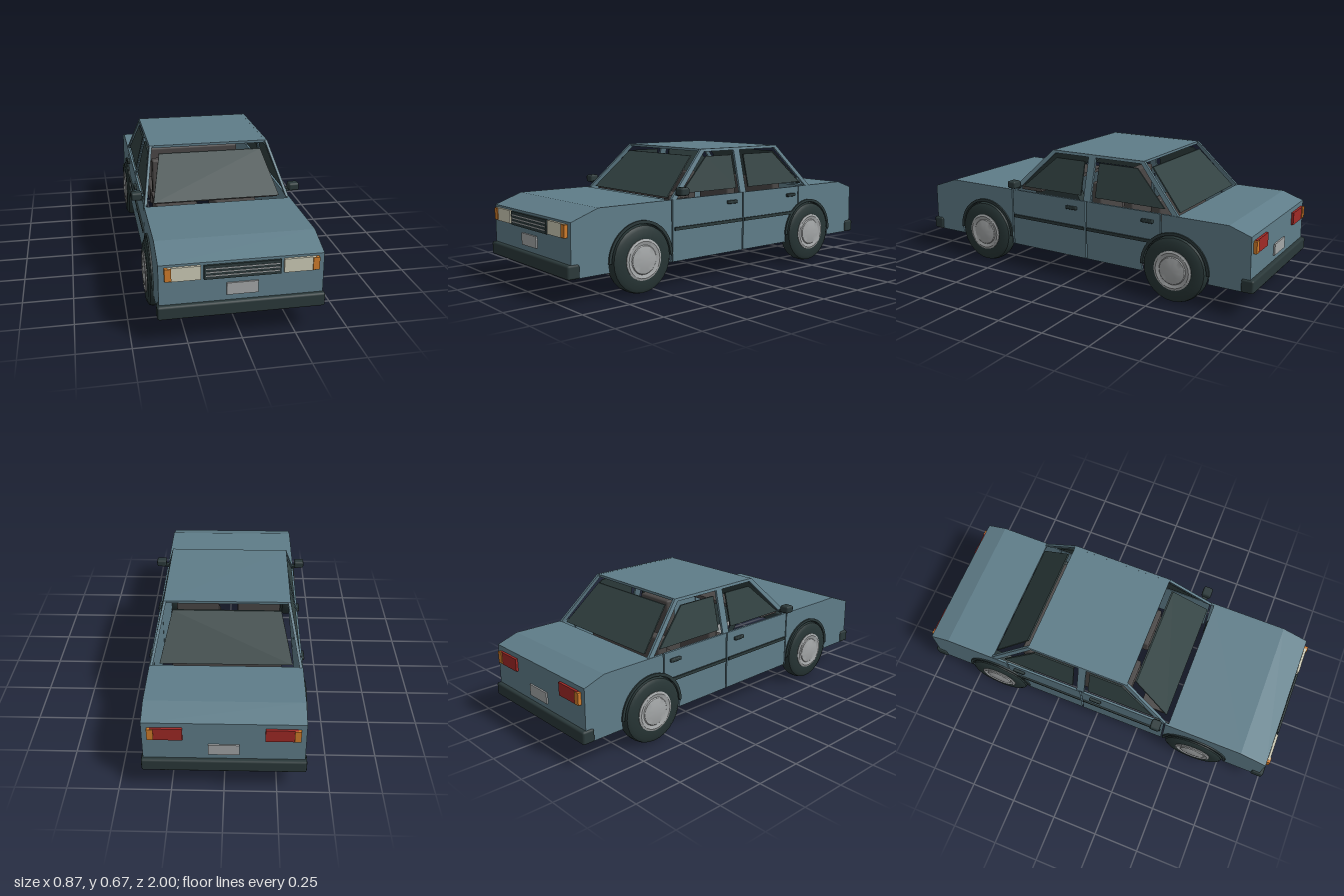
import * as THREE from 'three';
import { toCreasedNormals } from 'three/addons/utils/BufferGeometryUtils.js';
import { RoundedBoxGeometry } from 'three/addons/geometries/RoundedBoxGeometry.js';

const paint = (name, color, side = THREE.FrontSide) =>
  Object.assign(new THREE.MeshStandardMaterial({ color, side }), { name });

// Extrudes a (z, y) outline across x, its outer face lying at x0
function slab(points, x0, depth) {
  const shape = new THREE.Shape(points.map(([z, y]) => new THREE.Vector2(-z, y)));
  const g = new THREE.ExtrudeGeometry(shape, { depth, bevelEnabled: false });
  return g.rotateY(Math.PI / 2).translate(x0 - depth, 0, 0);
}

// Moves each vertex along one axis by a rule of its height
function lean(g, axis, rule) {
  const p = g.attributes.position;
  for (let i = 0; i < p.count; i++) p.setComponent(i, axis, p.getComponent(i, axis) + rule(p.getY(i)));
  g.computeVertexNormals();
  return g;
}

// Reflected copy in x with the corner order restored
function mirrorX(geometry) {
  const g = geometry.index ? geometry.toNonIndexed() : geometry.clone();
  g.scale(-1, 1, 1);
  for (const a of [g.attributes.position, g.attributes.normal]) {
    for (let i = 0; i < a.count; i += 3) {
      const b = [a.getX(i + 1), a.getY(i + 1), a.getZ(i + 1)];
      a.setXYZ(i + 1, a.getX(i + 2), a.getY(i + 2), a.getZ(i + 2));
      a.setXYZ(i + 2, ...b);
    }
  }
  return g;
}

const box = (w, h, d, x, y, z) => new THREE.BoxGeometry(w, h, d).translate(x, y, z);
const softBox = (w, h, d, x, y, z, r = 0.01) => new RoundedBoxGeometry(w, h, d, 1, r).translate(x, y, z);

const AXLE_Y = 0.172, FRONT = 0.595, REAR = -0.59;
// Points of an arc around an axle, in (z, y)
function arc(cz, r, from, to, n = 24) {
  return Array.from({ length: n + 1 }, (_, i) => {
    const a = from + (to - from) * i / n;
    return [cz + r * Math.cos(a), AXLE_Y + r * Math.sin(a)];
  });
}

export function createModel() {
  const car = new THREE.Group();
  car.name = 'car';
  const body = paint('body blue', 0x5f7d89);
  const trim = paint('dark trim', 0x2b393a, THREE.DoubleSide);
  const glass = paint('window glass', 0x314141, THREE.DoubleSide);
  const rubber = paint('tyre rubber', 0x273535);
  const metal = paint('hub and plate grey', 0xa4a7a8);
  const cream = paint('headlight cream', 0xcdcbb6);
  const amber = paint('indicator amber', 0xcf7c2b);
  const red = paint('tail light red', 0xa02926);
  const fabric = paint('seat fabric', 0x4a4746);

  const add = (name, geometry, material) => {
    const mesh = new THREE.Mesh(geometry, material);
    mesh.name = name;
    car.add(mesh);
  };
  const pair = (name, geometry, material) => {
    add(name + 'Left', geometry, material);
    add(name + 'Right', mirrorX(geometry), material);
  };

  // Hood with nose, and trunk lid with tail, as folded sheets
  add('hoodAndNose', slab([[0.425, 0.44], [0.83, 0.44], [0.975, 0.388], [0.98, 0.13],
    [0.968, 0.13], [0.963, 0.379], [0.828, 0.429], [0.425, 0.429]], 0.366, 0.732), body);
  add('trunkAndTail', slab([[-0.597, 0.44], [-0.865, 0.44], [-0.976, 0.402], [-0.98, 0.13],
    [-0.968, 0.13], [-0.964, 0.393], [-0.863, 0.429], [-0.597, 0.429]], 0.366, 0.732), body);

  // Side panels, separated by narrow door gaps
  const R = 0.183, PI = Math.PI;
  const sides = {
    frontFender: [[0.408, 0.13], [0.408, 0.44], [0.83, 0.44], [0.975, 0.388], [0.98, 0.13],
      ...arc(FRONT, R, -0.23, PI + 0.23)],
    frontDoor: [[0.401, 0.13], [0.401, 0.44], [-0.072, 0.44], [-0.072, 0.13]],
    rearDoor: [[-0.08, 0.13], [-0.08, 0.44], [-0.507, 0.44], ...arc(REAR, R, 1.1, -0.23)],
    rearFender: [[-0.514, 0.44], ...arc(REAR, R, 1.142, PI + 0.23),
      [-0.98, 0.13], [-0.976, 0.402], [-0.865, 0.44]],
  };
  for (const [name, outline] of Object.entries(sides)) pair(name, slab(outline, 0.376, 0.012), body);

  // Roof, leaning pillars and side windows
  const inward = y => -Math.max(0, y - 0.44) * 0.243;
  add('roof', box(0.63, 0.013, 0.545, 0, 0.668, -0.1075), body);
  pair('roofFrame', lean(slab([[0.408, 0.44], [0.168, 0.675], [-0.382, 0.675], [-0.603, 0.44],
    [-0.57, 0.44], [-0.367, 0.661], [0.15, 0.661], [0.372, 0.44]], 0.373, 0.014), 0, inward), body);
  pair('centrePillar', lean(slab([[-0.058, 0.44], [-0.058, 0.665], [-0.1, 0.665], [-0.1, 0.44]],
    0.372, 0.013), 0, inward), body);
  pair('frontSideWindow', lean(slab([[0.335, 0.464], [0.14, 0.637], [-0.037, 0.637], [-0.037, 0.464]],
    0.37, 0.008), 0, inward), glass);
  pair('rearSideWindow', lean(slab([[-0.125, 0.464], [-0.125, 0.637], [-0.348, 0.637], [-0.525, 0.464]],
    0.37, 0.008), 0, inward), glass);

  // Windscreen and rear window
  const pane = new THREE.Shape([[-0.325, 0.446], [0.325, 0.446], [0.27, 0.64], [-0.27, 0.64]]
    .map(p => new THREE.Vector2(...p)));
  const screen = rule => lean(new THREE.ExtrudeGeometry(pane, { depth: 0.008, bevelEnabled: false }), 2, rule);
  add('windscreen', screen(y => 0.397 - (y - 0.44) * 1.02), glass);
  add('rearWindow', screen(y => -0.597 + (y - 0.44) * 0.94), glass);

  // Wheels and wheel wells
  const v = (r, y) => new THREE.Vector2(r, y);
  const turned = points => toCreasedNormals(
    new THREE.LatheGeometry(points, 28).rotateZ(-PI / 2), 0.6);
  const tyre = turned([v(0.1, -0.04), v(0.145, -0.04), v(0.163, -0.03), v(0.168, -0.015),
    v(0.168, 0.015), v(0.163, 0.03), v(0.145, 0.04), v(0.1, 0.04)]);
  const hub = turned([v(0, -0.03), v(0.101, -0.03), v(0.101, 0.043), v(0.09, 0.047),
    v(0.072, 0.042), v(0.068, 0.046), v(0.04, 0.051), v(0, 0.053)]);
  const liner = new THREE.CylinderGeometry(R, R, 0.08, 24, 1, true, PI, PI).rotateZ(-PI / 2);
  const linerWall = new THREE.CircleGeometry(R, 24, 0, PI).rotateY(PI / 2);
  for (const [end, z] of [['front', FRONT], ['rear', REAR]]) {
    pair(end + 'Tyre', tyre.clone().translate(0.358, AXLE_Y, z), rubber);
    pair(end + 'Hub', hub.clone().translate(0.358, AXLE_Y, z), metal);
    pair(end + 'WheelWell', liner.clone().translate(0.34, AXLE_Y - 0.01, z), trim);
    pair(end + 'WheelWellWall', linerWall.clone().translate(0.3, AXLE_Y - 0.01, z), trim);
    pair(end + 'ArchLip', slab([...arc(z, 0.187, 0, PI), ...arc(z, 0.172, PI, 0)], 0.384, 0.02), trim);
  }

  // Bumpers, number plates and lights at both ends
  for (const [end, s] of [['front', 1], ['rear', -1]]) {
    add(end + 'Bumper', softBox(0.77, 0.066, 0.064, 0, 0.163, s * 0.968), trim);
    add(end + 'Plate', box(0.144, 0.058, 0.008, 0, 0.254, s * 0.983), metal);
    pair(end + 'Light', box(0.147, 0.066, 0.012, 0.262, 0.345, s * 0.983), s > 0 ? cream : red);
    pair(end + 'Indicator', box(0.03, 0.06, 0.022, 0.335, 0.346, s * 0.983), amber);
  }

  // Grille with slats
  add('grille', box(0.35, 0.068, 0.01, 0, 0.343, 0.983), trim);
  for (let i = 0; i < 3; i++) add('grilleSlat', box(0.335, 0.005, 0.006, 0, 0.326 + i * 0.017, 0.987), metal);

  // Door strips, handles and mirrors
  pair('frontDoorStrip', box(0.01, 0.016, 0.455, 0.379, 0.294, 0.163), trim);
  pair('rearDoorStrip', box(0.01, 0.016, 0.385, 0.379, 0.294, -0.275), trim);
  for (const z of [0.01, -0.44]) pair('doorHandle', softBox(0.018, 0.018, 0.066, 0.383, 0.396, z, 0.005), trim);
  pair('mirror', softBox(0.055, 0.04, 0.052, 0.407, 0.481, 0.365), trim);
  pair('mirrorArm', box(0.04, 0.012, 0.03, 0.384, 0.464, 0.362), trim);

  // Cabin: dashboard, two front seats and a rear bench
  add('dashboard', box(0.64, 0.02, 0.13, 0, 0.444, 0.315), fabric);
  pair('frontSeat', softBox(0.23, 0.1, 0.25, 0.165, 0.265, 0.03), fabric);
  pair('frontSeatBack', softBox(0.23, 0.31, 0.06, 0.165, 0.365, -0.08), fabric);
  add('rearSeat', softBox(0.56, 0.1, 0.25, 0, 0.25, -0.33), fabric);
  add('rearSeatBack', softBox(0.56, 0.28, 0.06, 0, 0.34, -0.43), fabric);
  return car;
}
